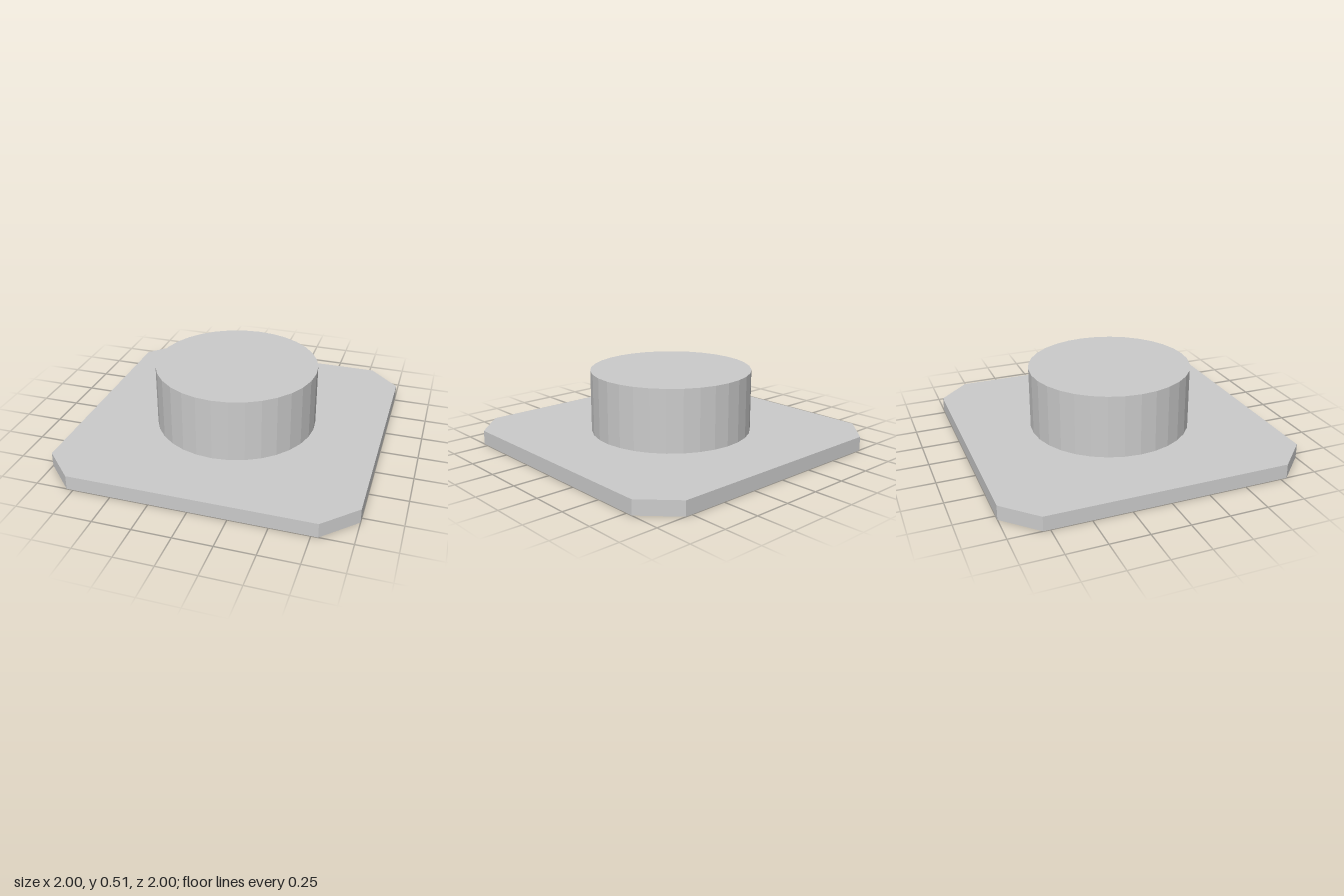
import * as THREE from 'three';

const PLATE_HEIGHT = 0.095;
const TOTAL_HEIGHT = 0.513;

export function createModel() {
  const model = new THREE.Group();
  const material = new THREE.MeshStandardMaterial({ color: 0xcccccc, flatShading: true });

  // Square base plate with chamfered corners
  const edge = 1, cut = 0.793;
  const outline = new THREE.Shape([
    [cut, -edge], [edge, -cut], [edge, cut], [cut, edge],
    [-cut, edge], [-edge, cut], [-edge, -cut], [-cut, -edge],
  ].map(([x, y]) => new THREE.Vector2(x, y)));
  const plateGeometry = new THREE.ExtrudeGeometry(outline, { depth: PLATE_HEIGHT, bevelEnabled: false });
  plateGeometry.rotateX(-Math.PI / 2);
  const plate = new THREE.Mesh(plateGeometry, material);
  plate.name = 'basePlate';
  model.add(plate);

  // Round boss standing on the plate
  const bossHeight = TOTAL_HEIGHT - PLATE_HEIGHT;
  const boss = new THREE.Mesh(new THREE.CylinderGeometry(0.543, 0.543, bossHeight, 32), material);
  boss.name = 'boss';
  boss.position.y = PLATE_HEIGHT + bossHeight / 2;
  model.add(boss);

  return model;
}
